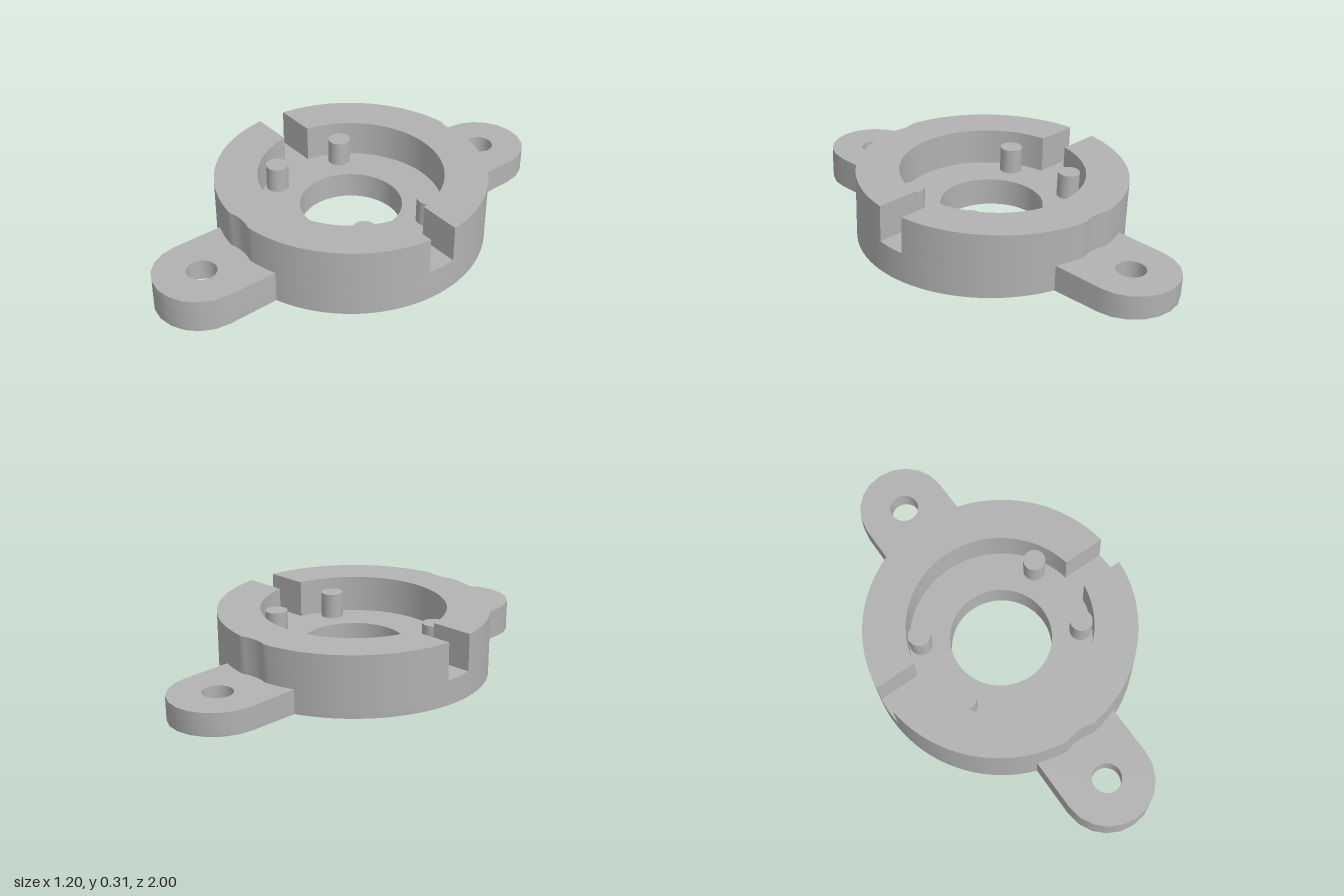
import * as THREE from 'three';
import { toCreasedNormals } from 'three/addons/utils/BufferGeometryUtils.js';

const SLOPE_X = 0.02, SLOPE_Z = 0.0235; // the body leans slightly on its flat underside
const OUTER = 0.6, POCKET = 0.41, BORE = 0.228;
const EAR_Z = 0.795, EAR_R = 0.205;
const STEP_Y = 0.04, FLOOR_Y = 0.126, RIM_Y = 0.2925;

// Points along a circular arc
function arc(cx, cy, r, a0, a1, n) {
  return Array.from({ length: n + 1 }, (_, i) => {
    const a = a0 + ((a1 - a0) * i) / n;
    return new THREE.Vector2(cx + r * Math.cos(a), cy + r * Math.sin(a));
  });
}

// Lean everything above the flat underside
function lean(geometry) {
  const p = geometry.attributes.position;
  for (let i = 0; i < p.count; i++) {
    const x = p.getX(i), y = p.getY(i), z = p.getZ(i);
    if (y > 1e-4) {
      p.setXYZ(i, x - SLOPE_X * y, y + SLOPE_X * x + SLOPE_Z * z, z - SLOPE_Z * y);
    }
  }
  return toCreasedNormals(geometry, 0.5);
}

// Extrude a plan outline upward between two heights
function slab(points, holes, y0, y1) {
  const shape = new THREE.Shape(points);
  for (const [z, r, n] of holes) {
    shape.holes.push(new THREE.Path(arc(0, z, r, 0, -Math.PI * 2, n).slice(0, -1)));
  }
  const g = new THREE.ExtrudeGeometry(shape, { depth: y1 - y0, bevelEnabled: false });
  g.rotateX(-Math.PI / 2);
  g.translate(0, y0, 0);
  return lean(g);
}

// Round flange with an ear at the front and back
function plateOutline() {
  const a = Math.asin(EAR_R / OUTER), q = Math.PI / 2;
  return [
    ...arc(0, 0, OUTER, -q + a, q - a, 48),
    ...arc(0, EAR_Z, EAR_R, 0, Math.PI, 10),
    ...arc(0, 0, OUTER, q + a, 3 * q - a, 48),
    ...arc(0, -EAR_Z, EAR_R, Math.PI, 2 * Math.PI, 10),
  ];
}

// Half of the raised rim, with a screw-head clearance bite in its outer wall
function rimOutline(turn) {
  const slot = 0.066, biteR = 0.21, q = Math.PI / 2;
  const aOut = Math.asin(slot / OUTER), aIn = Math.asin(slot / POCKET);
  const biteY = (OUTER ** 2 + EAR_Z ** 2 - biteR ** 2) / (2 * EAR_Z);
  const biteX = Math.sqrt(OUTER ** 2 - biteY ** 2);
  const aBite = Math.atan2(biteX, biteY);
  const aCut = Math.atan2(biteX, EAR_Z - biteY);
  const points = [
    ...arc(0, 0, OUTER, aOut, q - aBite, 32),
    ...arc(0, EAR_Z, biteR, -q + aCut, -q - aCut, 8).slice(1, -1),
    ...arc(0, 0, OUTER, q + aBite, Math.PI - aOut, 32),
    ...arc(0, 0, POCKET, Math.PI - aIn, aIn, 48),
  ];
  return points.map((p) => p.rotateAround(new THREE.Vector2(), turn));
}

export function createModel() {
  const model = new THREE.Group();
  model.name = 'flangedHousing';
  const grey = new THREE.MeshStandardMaterial({ color: 0xb2b2b2 });
  grey.name = 'grey';

  const add = (name, geometry) => {
    const mesh = new THREE.Mesh(geometry, grey);
    mesh.name = name;
    model.add(mesh);
  };
  const earHoles = (r) => [[EAR_Z - 0.005, r, 32], [0.005 - EAR_Z, r, 32]];

  // Base plate in two layers: wide counterbores below, screw holes above
  add('lowerPlate', slab(plateOutline(), [[0, BORE, 64], ...earHoles(0.122)], 0, STEP_Y));
  add('upperPlate', slab(plateOutline(), [[0, BORE, 64], ...earHoles(0.065)], STEP_Y, FLOOR_Y));

  // Raised rim split by the two side slots
  add('backRim', slab(rimOutline(0), [], FLOOR_Y, RIM_Y));
  add('frontRim', slab(rimOutline(Math.PI), [], FLOOR_Y, RIM_Y));

  // Four locating pins on the pocket floor
  for (const sx of [-1, 1]) {
    for (const sz of [-1, 1]) {
      const pin = new THREE.CylinderGeometry(0.05, 0.05, 0.12, 24);
      pin.translate(sx * 0.31, FLOOR_Y + 0.055, sz * 0.178);
      add('locatingPin', lean(pin));
    }
  }
  return model;
}
